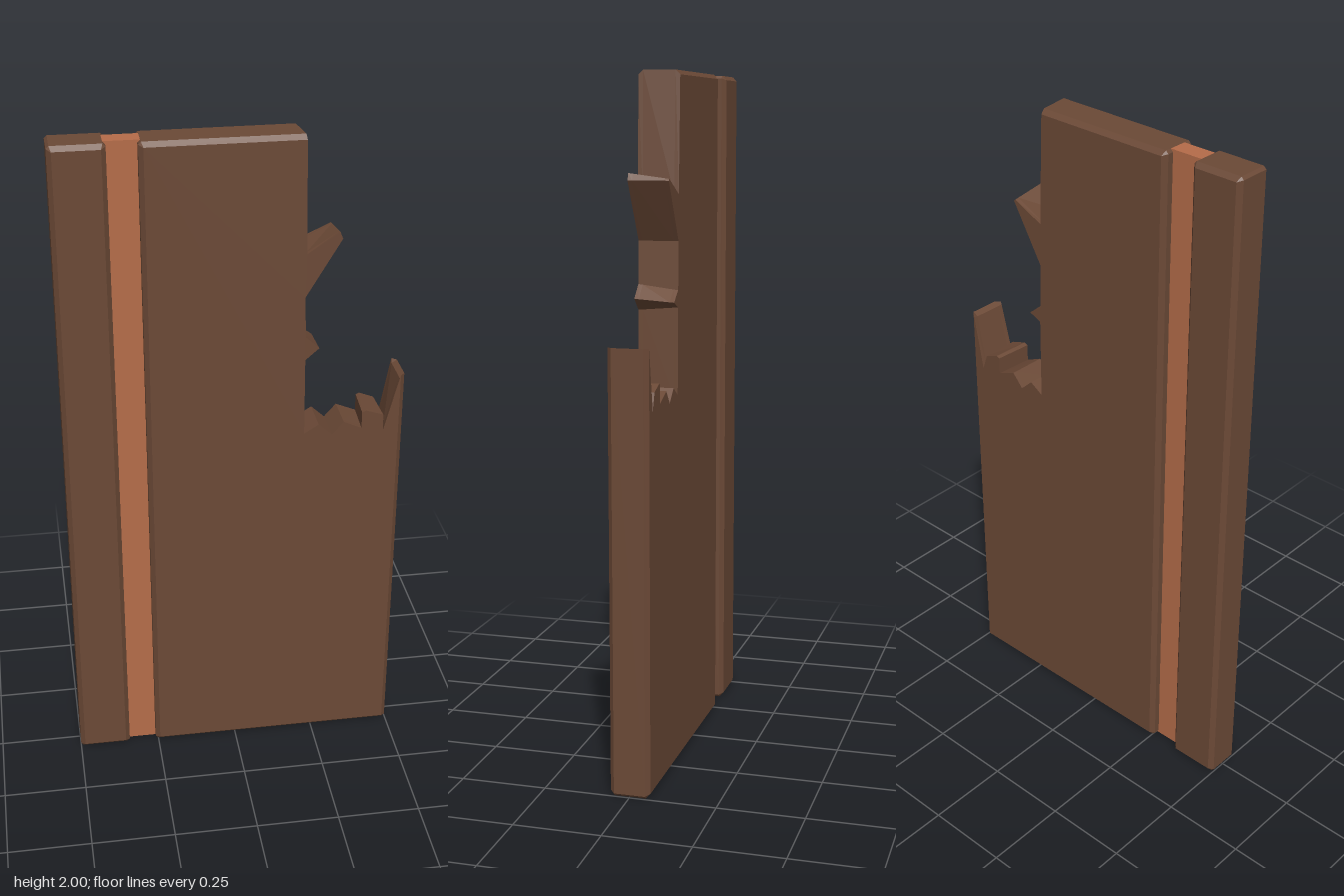
import * as THREE from 'three';

const HALF = 0.058;  // half thickness of the planks
const C = 0.013;     // chamfer width

// Solid plank from a counter-clockwise outline of [x, y, insetX, insetY, backDx, backDy].
// Insets chamfer the front and back rims; back offsets slant the splintered edge.
function plankGeometry(outline) {
  const layers = [-HALF, -HALF + C, HALF - C, HALF].map((z, k) => {
    const t = (HALF - z) / (2 * HALF);
    const rim = k === 0 || k === 3 ? C : 0;
    return outline.map(([x, y, ix = 0, iy = 0, dx = 0, dy = 0]) =>
      new THREE.Vector3(x + ix * rim + dx * t, y + iy * rim + dy * t, z));
  });
  const pos = [];
  const tri = (a, b, c) => [a, b, c].forEach((p) => pos.push(p.x, p.y, p.z));
  const n = outline.length;
  // edge walls
  for (let k = 0; k < 3; k++) {
    for (let i = 0; i < n; i++) {
      const j = (i + 1) % n;
      const a = layers[k][i], b = layers[k][j], c = layers[k + 1][j], d = layers[k + 1][i];
      tri(a, b, c);
      tri(a, c, d);
    }
  }
  // front and back faces
  const cap = (ring, front) => {
    const flat = ring.map((p) => new THREE.Vector2(p.x, p.y));
    for (const [a, b, c] of THREE.ShapeUtils.triangulateShape(flat, [])) {
      if (front) tri(ring[a], ring[b], ring[c]);
      else tri(ring[a], ring[c], ring[b]);
    }
  };
  cap(layers[3], true);
  cap(layers[0], false);
  const geometry = new THREE.BufferGeometry();
  geometry.setAttribute('position', new THREE.Float32BufferAttribute(pos, 3));
  geometry.computeVertexNormals();
  return geometry;
}

// Two points that cut off a square corner; sx, sy point towards the inside
function corner(x, y, sx, sy) {
  const b = 0.008;
  const pts = [[x, y + sy * b, sx, sy * 0.4], [x + sx * b, y, sx * 0.4, sy]];
  return sx * sy > 0 ? pts : pts.reverse();
}

export function createModel() {
  const group = new THREE.Group();
  const darkWood = new THREE.MeshStandardMaterial({ color: 0x6b4936, flatShading: true });
  darkWood.name = 'darkWood';
  const lightWood = new THREE.MeshStandardMaterial({ color: 0xb56c49, flatShading: true });
  lightWood.name = 'lightWood';
  const add = (name, geometry, material) => {
    const mesh = new THREE.Mesh(geometry, material);
    mesh.name = name;
    group.add(mesh);
    return mesh;
  };

  // Whole narrow plank
  add('narrowPlank', plankGeometry([
    ...corner(-0.5, 0, 1, 1),
    ...corner(-0.343, 0, -1, 1),
    ...corner(-0.343, 2, -1, -1),
    ...corner(-0.5, 2, 1, -1),
  ]), darkWood);

  // Wide plank with a splintered notch
  add('brokenPlank', plankGeometry([
    ...corner(-0.258, 0, 1, 1),
    ...corner(0.5, 0, -1, 1),
    [0.5, 1.265, -1, 0],
    [0.484, 1.255],
    // splinters along the bottom of the notch
    [0.442, 1.09, 0, 0, 0.012, 0],
    [0.440, 1.14, 0, 0, -0.004, 0],
    [0.388, 1.157, 0, 0, 0.004, 0],
    [0.376, 1.152, 0, 0, 0.006, 0],
    [0.376, 1.10, 0, 0, 0.006, 0],
    [0.322, 1.125],
    [0.287, 1.085],
    [0.247, 1.122],
    [0.204, 1.095],
    // splinters up the side of the notch
    [0.202, 1.335, 0, 0, 0, 0.01],
    [0.242, 1.37, 0, 0, 0, -0.008],
    [0.202, 1.408, 0, 0, -0.003, -0.015],
    [0.198, 1.53, 0, 0, -0.003, 0],
    [0.300, 1.70, 0, 0, -0.006, 0],
    [0.292, 1.72, 0, 0, -0.003, -0.015],
    [0.200, 1.66, 0, 0, -0.008, 0],
    [0.194, 2, 0, -1, -0.016, 0],
    ...corner(-0.258, 2, 1, -1),
  ]), darkWood);

  // Thin strip joining the planks
  add('joiningStrip', new THREE.BoxGeometry(0.1, 2, 0.054), lightWood)
    .position.set(-0.3005, 1, 0);

  return group;
}
